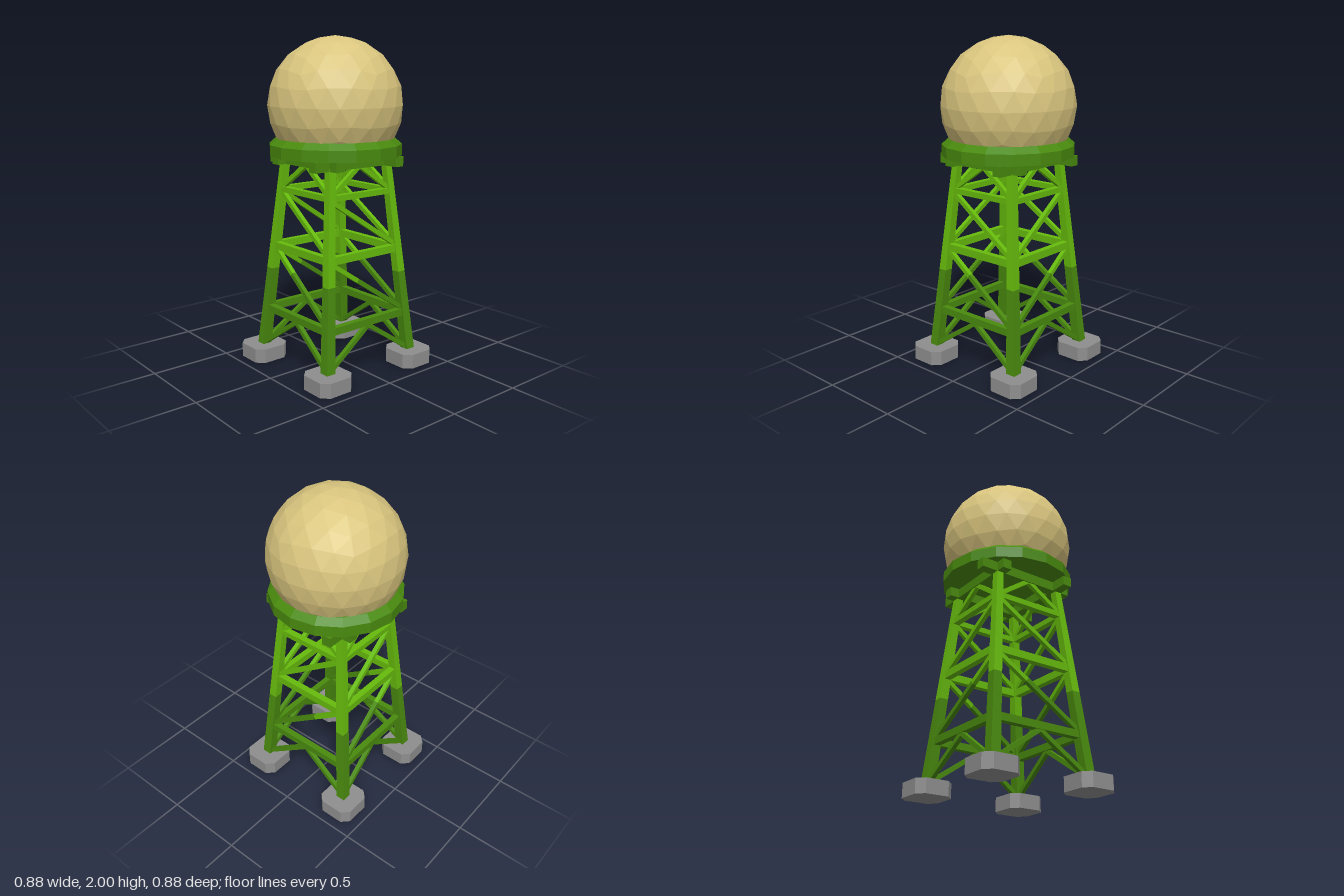
import * as THREE from 'three';

const material = (name, color) => Object.assign(new THREE.MeshStandardMaterial({ color, flatShading: true }), { name });

export function createModel() {
  const model = new THREE.Group();
  model.name = 'waterTower';
  const sand = material('sand', 0xd9c57e);
  const bright = material('brightGreen', 0x66bb0c);
  const dark = material('darkGreen', 0x498a0e);
  const grey = material('concrete', 0x8e8e8e);
  const SPLIT = 0.585; // height where the paint changes

  const add = (name, geometry, mat, parent = model) => {
    const mesh = new THREE.Mesh(geometry, mat);
    mesh.name = name;
    parent.add(mesh);
    return mesh;
  };
  const group = (name) => {
    const g = new THREE.Group();
    g.name = name;
    model.add(g);
    return g;
  };
  // Distance of the leg centre line from the axis, and leg width, by height
  const lean = (y) => 0.3275 - 0.0885 * y;
  const legWidth = (y) => 0.062 - 0.014 * y;

  // Faceted tank with a vertex at the pole; its underside is flattened inside the platform
  const tank = new THREE.IcosahedronGeometry(0.405, 3);
  tank.rotateZ(-Math.atan(2 / (1 + Math.sqrt(5))));
  tank.translate(0, 1.595, 0);
  const tp = tank.attributes.position;
  for (let i = 0; i < tp.count; i++) tp.setY(i, Math.max(tp.getY(i), 1.31));
  tank.computeVertexNormals();
  add('tank', tank, sand);

  // Platform with a bevelled rim
  const rim = [[0, 1.3], [0.4, 1.3], [0.4, 1.367], [0.358, 1.403], [0, 1.403]];
  add('platform', new THREE.LatheGeometry(rim.map(([r, y]) => new THREE.Vector2(r, y)), 16), dark);

  // Overlapping pinwheel of beams under the platform
  const frame = group('platformBeams');
  for (let i = 0; i < 4; i++) {
    const beam = new THREE.BoxGeometry(0.636, 0.06, 0.058);
    beam.translate(-0.022, 1.271, 0.209);
    beam.rotateY(i * Math.PI / 2);
    add('platformBeam', beam, dark, frame);
  }

  // Leaning legs and concrete feet
  const legs = group('legs');
  const feet = group('feet');
  const h = 0.117, k = 0.073;
  const outline = [[h, k], [k, h], [-k, h], [-h, k], [-h, -k], [-k, -h], [k, -h], [h, -k]];
  const footShape = new THREE.Shape(outline.map(([x, y]) => new THREE.Vector2(x, y)));
  for (const sx of [-1, 1]) for (const sz of [-1, 1]) {
    for (const [y0, y1, mat] of [[0.06, SPLIT, dark], [SPLIT, 1.27, bright]]) {
      const leg = new THREE.BoxGeometry(1, y1 - y0, 1);
      leg.translate(0, (y0 + y1) / 2, 0);
      const p = leg.attributes.position;
      for (let i = 0; i < p.count; i++) {
        const y = p.getY(i);
        p.setX(i, sx * lean(y) + p.getX(i) * legWidth(y));
        p.setZ(i, sz * lean(y) + p.getZ(i) * legWidth(y));
      }
      leg.computeVertexNormals();
      add(mat === dark ? 'lowerLeg' : 'upperLeg', leg, mat, legs);
    }
    const foot = new THREE.ExtrudeGeometry(footShape, { depth: 0.088, bevelEnabled: false });
    foot.rotateX(-Math.PI / 2);
    foot.translate(sx * 0.323, 0, sz * 0.323);
    add('foot', foot, grey, feet);
  }

  // Bracing: each bar runs between [u, y] points on a leaning side of the tower
  const sides = [
    { name: 'frontBracing', at: (u, y) => new THREE.Vector3(u, y, lean(y)), out: [0, 0, 1] },
    { name: 'backBracing', at: (u, y) => new THREE.Vector3(u, y, -lean(y)), out: [0, 0, -1] },
    { name: 'leftBracing', at: (u, y) => new THREE.Vector3(lean(y), y, -u), out: [1, 0, 0] },
    { name: 'rightBracing', at: (u, y) => new THREE.Vector3(-lean(y), y, -u), out: [-1, 0, 0] },
  ];
  const bar = (name, a, b, height, depth, out, mat, parent) => {
    const along = b.clone().sub(a);
    const length = along.length();
    along.normalize();
    const up = new THREE.Vector3(...out).cross(along).normalize();
    const normal = along.clone().cross(up);
    const geometry = new THREE.BoxGeometry(length, height, depth);
    geometry.applyMatrix4(new THREE.Matrix4().makeBasis(along, up, normal));
    const mid = a.clone().add(b).multiplyScalar(0.5);
    geometry.translate(mid.x, mid.y, mid.z);
    add(name, geometry, mat, parent);
  };
  const girders = [[0.326, 0.044], [0.731, 0.046], [1.085, 0.034]];
  const diagonals = [
    [-0.235, 1.075, 0.25, 0.755], [-0.265, 0.72, 0.29, 0.345],
    [0, 0.305, -0.315, 0.09], [0, 0.305, 0.315, 0.09],
    [0, 1.255, -0.225, 1.095], [0, 1.255, 0.225, 1.095],
  ];
  for (const { name, at, out } of sides) {
    const bracing = group(name);
    for (const [y, height] of girders) {
      bar('girder', at(-lean(y), y), at(lean(y), y), height, 0.04, out, y < SPLIT ? dark : bright, bracing);
    }
    for (const [u0, y0, u1, y1] of diagonals) {
      const a = at(u0, y0), b = at(u1, y1);
      if (y0 > SPLIT && y1 < SPLIT) {
        const m = a.clone().lerp(b, (y0 - SPLIT) / (y0 - y1));
        bar('upperDiagonal', a, m, 0.027, 0.027, out, bright, bracing);
        bar('lowerDiagonal', m, b, 0.027, 0.027, out, dark, bracing);
      } else {
        bar('diagonal', a, b, 0.027, 0.027, out, y0 < SPLIT ? dark : bright, bracing);
      }
    }
  }
  return model;
}
